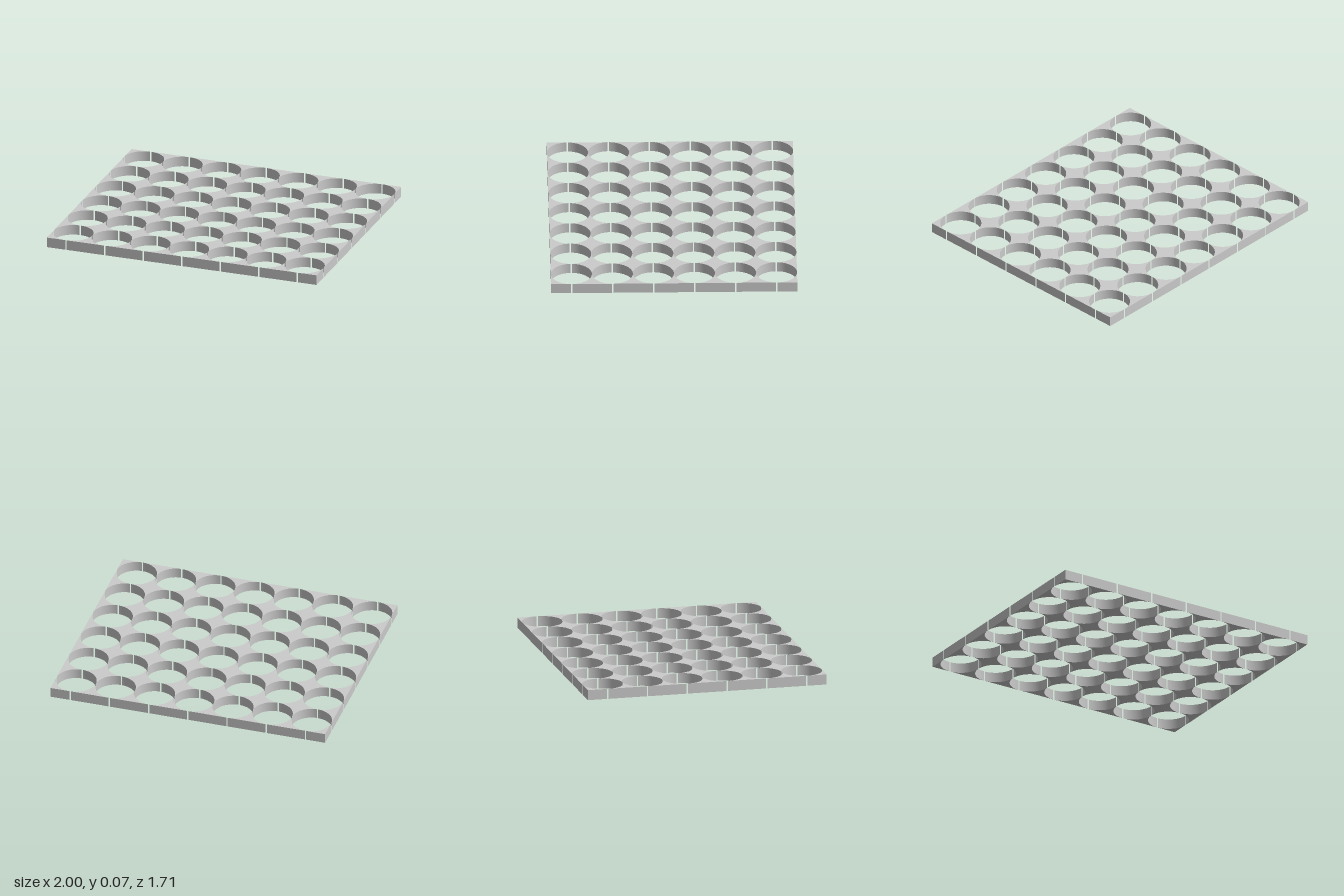
import * as THREE from 'three';
import { toCreasedNormals } from 'three/addons/utils/BufferGeometryUtils.js';

const COLS = 7, ROWS = 6;
const PITCH = 2 / COLS, P = PITCH / 2;
const HEIGHT = 0.072;
const GAP = 0.005;              // half width of the slit where neighbouring holes meet
const R = Math.hypot(P, GAP);   // hole radius, a hair over half the pitch
const SEG = 16;                 // segments per quarter hole

// Web piece around one grid node; has(k) tells whether a hole lies in quadrant k
function webShape(has) {
  const pts = [];
  const a0 = Math.atan2(-P, -GAP), a1 = Math.atan2(-GAP, -P);
  let cornerAdded = false;
  for (let k = 0; k < 4; k++) {
    if (!has(k)) {
      // outside the tray: straight edge through the node
      if (!cornerAdded) pts.push(new THREE.Vector2(0, 0));
      cornerAdded = true;
      continue;
    }
    for (let s = 0; s <= SEG; s++) {
      const a = a0 + (a1 - a0) * s / SEG;
      const v = new THREE.Vector2(P + R * Math.cos(a), P + R * Math.sin(a));
      v.rotateAround(new THREE.Vector2(), k * Math.PI / 2);
      // neighbouring quarters share their tip
      if (!pts.some(q => q.distanceTo(v) < 1e-6)) pts.push(v);
    }
  }
  return new THREE.Shape(pts);
}

export function createModel() {
  const group = new THREE.Group();
  group.name = 'perforatedPlate';
  const material = new THREE.MeshStandardMaterial({ color: 0xcccccc });
  const cache = {};
  const quadrants = [[0, 0], [-1, 0], [-1, -1], [0, -1]];

  for (let i = 0; i <= COLS; i++) {
    for (let j = 0; j <= ROWS; j++) {
      const has = k => {
        const c = i + quadrants[k][0], r = j + quadrants[k][1];
        return c >= 0 && c < COLS && r >= 0 && r < ROWS;
      };
      const flags = [0, 1, 2, 3].map(has);
      const key = flags.join();
      if (!cache[key]) {
        const geo = new THREE.ExtrudeGeometry(webShape(has), { depth: HEIGHT, bevelEnabled: false });
        geo.rotateX(-Math.PI / 2);
        cache[key] = toCreasedNormals(geo, 0.5);
      }
      const count = flags.filter(Boolean).length;
      const web = new THREE.Mesh(cache[key], material);
      web.name = count === 4 ? 'innerWeb' : count === 2 ? 'edgeWeb' : 'cornerWeb';
      web.position.set((i - COLS / 2) * PITCH, 0, (ROWS / 2 - j) * PITCH);
      group.add(web);
    }
  }
  return group;
}
